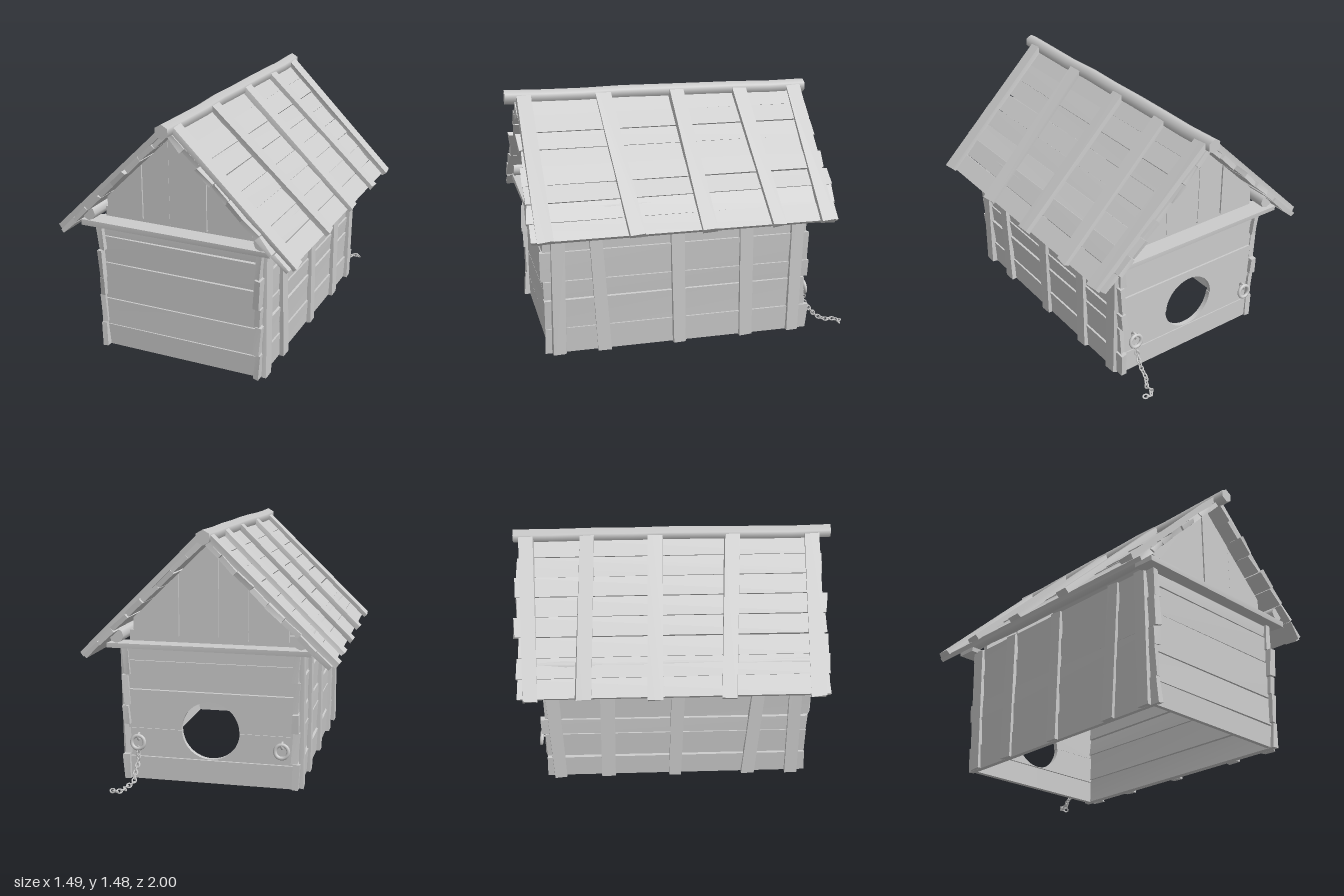
import * as THREE from 'three';

const material = new THREE.MeshStandardMaterial({ color: 0xcccccc });

// Small seeded generator for the hand-cut irregularities
let seed = 7;
const rand = (r) => {
  seed = (seed * 16807) % 2147483647;
  return (seed / 2147483647 * 2 - 1) * r;
};

function add(parent, name, geometry, x = 0, y = 0, z = 0) {
  const mesh = new THREE.Mesh(geometry, material);
  mesh.name = name;
  mesh.position.set(x, y, z);
  parent.add(mesh);
  return mesh;
}

// Box with each of its eight corners nudged
function roughBox(w, h, d, jx, jy, jz) {
  const geo = new THREE.BoxGeometry(w, h, d);
  const nudge = Array.from({ length: 8 }, () => [rand(jx), rand(jy), rand(jz)]);
  const p = geo.attributes.position;
  for (let i = 0; i < p.count; i++) {
    const n = nudge[(p.getX(i) > 0 ? 1 : 0) + (p.getY(i) > 0 ? 2 : 0) + (p.getZ(i) > 0 ? 4 : 0)];
    p.setXYZ(i, p.getX(i) + n[0], p.getY(i) + n[1], p.getZ(i) + n[2]);
  }
  geo.computeVertexNormals();
  return geo;
}

// Log along z with a slightly wandering axis
function logGeometry(radius, length, sides, wobble) {
  const rings = 8;
  const geo = new THREE.CylinderGeometry(radius, radius, length, sides, rings);
  const shift = Array.from({ length: rings + 1 }, () => [rand(wobble), rand(wobble)]);
  const p = geo.attributes.position;
  for (let i = 0; i < p.count; i++) {
    const s = shift[Math.round((p.getY(i) / length + 0.5) * rings)];
    p.setX(i, p.getX(i) + s[0]);
    p.setZ(i, p.getZ(i) + s[1]);
  }
  return geo.rotateX(Math.PI / 2);
}

function extrude(points, depth) {
  const shape = new THREE.Shape(points.map(([x, y]) => new THREE.Vector2(x, y)));
  return new THREE.ExtrudeGeometry(shape, { depth, bevelEnabled: false });
}

const SLOPE = 0.971;
const ANGLE = Math.atan(SLOPE);
const RIDGE = 1.489;
const wallRows = [0.012, 0.15, 0.32, 0.55, 0.72, 0.8];
const sideRows = [0.012, 0.165, 0.345, 0.455, 0.635, 0.81];
const rowsOf = (edges, fn) => edges.slice(1).forEach((top, i) => fn(edges[i], top, i));

function sideWall(s) {
  const g = new THREE.Group();
  g.name = s > 0 ? 'leftWall' : 'rightWall';
  rowsOf(sideRows, (a, b) => {
    const front = 0.872 + rand(0.012), back = -0.74 + rand(0.014);
    const plank = add(g, 'sidePlank', roughBox(0.034, b - a - 0.003, front - back, 0.004, 0.003, 0.008),
      s * 0.493, (a + b) / 2, (front + back) / 2);
    plank.rotation.z = -s * 0.06;
  });
  // Battens: z at the top, z at the bottom
  [[0.78, 0.79], [0.57, 0.52], [0.08, 0.065], [-0.34, -0.35], [-0.675, -0.65]].forEach(([zt, zb]) => {
    const batten = add(g, 'sideBatten', roughBox(0.025, 0.8, 0.08, 0.003, 0.004, 0.005),
      s * 0.52, 0.41, (zt + zb) / 2);
    batten.rotation.x = Math.atan2(zt - zb, 0.8);
  });
  return g;
}

function frontWall() {
  const g = new THREE.Group();
  g.name = 'frontWall';
  rowsOf(wallRows, (a, b) =>
    add(g, 'frontPlank', roughBox(0.97, b - a - 0.005, 0.03, 0, 0.003, 0.004), 0, (a + b) / 2, 0.83));
  return g;
}

// Planks cut by the round doorway, each row made of two halves
function doorWall() {
  const g = new THREE.Group();
  g.name = 'doorWall';
  const cy = 0.325, r = 0.17, half = 0.485;
  const edge = (y) => Math.sqrt(Math.max(0, r * r - (y - cy) ** 2));
  rowsOf(wallRows, (a, b) => {
    const y0 = a + 0.002, y1 = b - 0.002;
    const arc = [];
    for (let i = 0; i <= 32; i++) {
      const y = cy - r * Math.cos((i / 32) * Math.PI);
      if (y > y0 && y < y1) arc.push([edge(y), y]);
    }
    const inner = [[edge(y0), y0], ...arc, [edge(y1), y1]];
    const outline = [[half, y1], [half, y0], ...inner];
    const z = -0.722 + rand(0.004);
    add(g, 'doorPlank', extrude(outline.map(([x, y]) => [x, y]), 0.03), 0, 0, z);
    add(g, 'doorPlank', extrude(outline.map(([x, y]) => [-x, y]), 0.03), 0, 0, z);
  });
  return g;
}

// Vertical boards up to the roof, standing on a flat cross beam
function gable(name, z, out) {
  const g = new THREE.Group();
  g.name = name;
  const under = (x) => RIDGE - 0.088 - SLOPE * Math.abs(x);
  rowsOf([-0.45, -0.22, -0.05, 0.18, 0.45], (a, b) => {
    const x0 = a + 0.002, x1 = b - 0.002;
    const points = [[x0, 0.86 + rand(0.01)], [x1, 0.86 + rand(0.01)], [x1, under(x1)]];
    if (x0 < 0 && x1 > 0) points.push([0, under(0)]);
    points.push([x0, under(x0)]);
    add(g, 'gableBoard', extrude(points, 0.03), 0, 0, z - 0.015 + rand(0.005));
  });
  add(g, 'gableSill', new THREE.BoxGeometry(0.96, 0.09, 0.03), 0, 0.845, z - out * 0.028);
  add(g, 'crossBeam', roughBox(1.16, 0.03, 0.12, 0.008, 0.003, 0.006), 0, 0.815, z + out * 0.035);
  return g;
}

function roofSide(s) {
  const g = new THREE.Group();
  g.name = s > 0 ? 'leftRoof' : 'rightRoof';
  g.position.y = RIDGE;
  g.rotation.z = -s * ANGLE;
  const rows = 8, start = 0.05, step = (1.015 - start) / rows;
  for (let i = 0; i < rows; i++) {
    const front = 0.952 + rand(0.018), back = -0.86 + rand(0.018);
    const plank = add(g, 'roofPlank', roughBox(step - 0.003, 0.028, front - back, 0.003, 0.004, 0.008),
      s * (start + step * (i + 0.5)), -0.045 + rand(0.004), (front + back) / 2);
    plank.rotation.z = rand(0.04);
  }
  // Battens: z at the ridge, z at the eave
  [[0.89, 0.875], [0.415, 0.365], [-0.04, -0.06], [-0.445, -0.475], [-0.805, -0.775]].forEach(([zt, zb]) => {
    const batten = add(g, 'roofBatten', roughBox(0.99, 0.03, 0.088, 0.006, 0.003, 0.005),
      s * 0.535, -0.015, (zt + zb) / 2);
    batten.rotation.y = s * Math.atan2(zt - zb, 0.99);
  });
  return g;
}

// Wall ring hanging from a small eye
function wallRing(s) {
  const g = new THREE.Group();
  g.name = s > 0 ? 'leftRing' : 'rightRing';
  g.position.set(s * 0.42, 0.245, -0.745);
  add(g, 'eye', new THREE.TorusGeometry(0.018, 0.007, 8, 16), 0, 0.03, 0).rotation.y = Math.PI / 2;
  const ring = add(g, 'ring', new THREE.TorusGeometry(0.038, 0.011, 8, 24), 0, 0, -0.018);
  ring.rotation.x = 0.12;
  return g;
}

function chain() {
  const g = new THREE.Group();
  g.name = 'chain';
  const path = new THREE.CatmullRomCurve3([
    [0.42, 0.205, -0.765], [0.415, 0.14, -0.775], [0.42, 0.085, -0.815], [0.42, 0.035, -0.865],
    [0.45, 0.022, -0.915], [0.445, 0.02, -0.945], [0.48, 0.02, -0.985], [0.505, 0.02, -0.975],
  ].map((p) => new THREE.Vector3(...p)));
  const links = 17, along = new THREE.Vector3(1, 0, 0);
  const geo = new THREE.TorusGeometry(0.012, 0.0045, 6, 12).scale(1.3, 1, 1);
  for (let i = 0; i < links; i++) {
    const t = i / (links - 1);
    const link = add(g, 'chainLink', geo, ...path.getPointAt(t).toArray());
    link.quaternion.setFromUnitVectors(along, path.getTangentAt(t));
    link.rotateX((i % 2) * Math.PI / 2 + 0.6);
  }
  return g;
}

export function createModel() {
  const model = new THREE.Group();
  model.name = 'kennel';
  model.add(frontWall(), doorWall(), gable('frontGable', 0.825, 1), gable('backGable', -0.705, -1), chain());
  for (const s of [1, -1]) {
    model.add(sideWall(s), roofSide(s), wallRing(s));
    add(model, 'eaveLog', logGeometry(0.042, 1.7, 8, 0.004), s * 0.53, 0.872, 0.065);
  }
  add(model, 'ridgeLog', logGeometry(0.043, 1.88, 6, 0.005), 0, 1.441, 0.06);
  return model;
}
